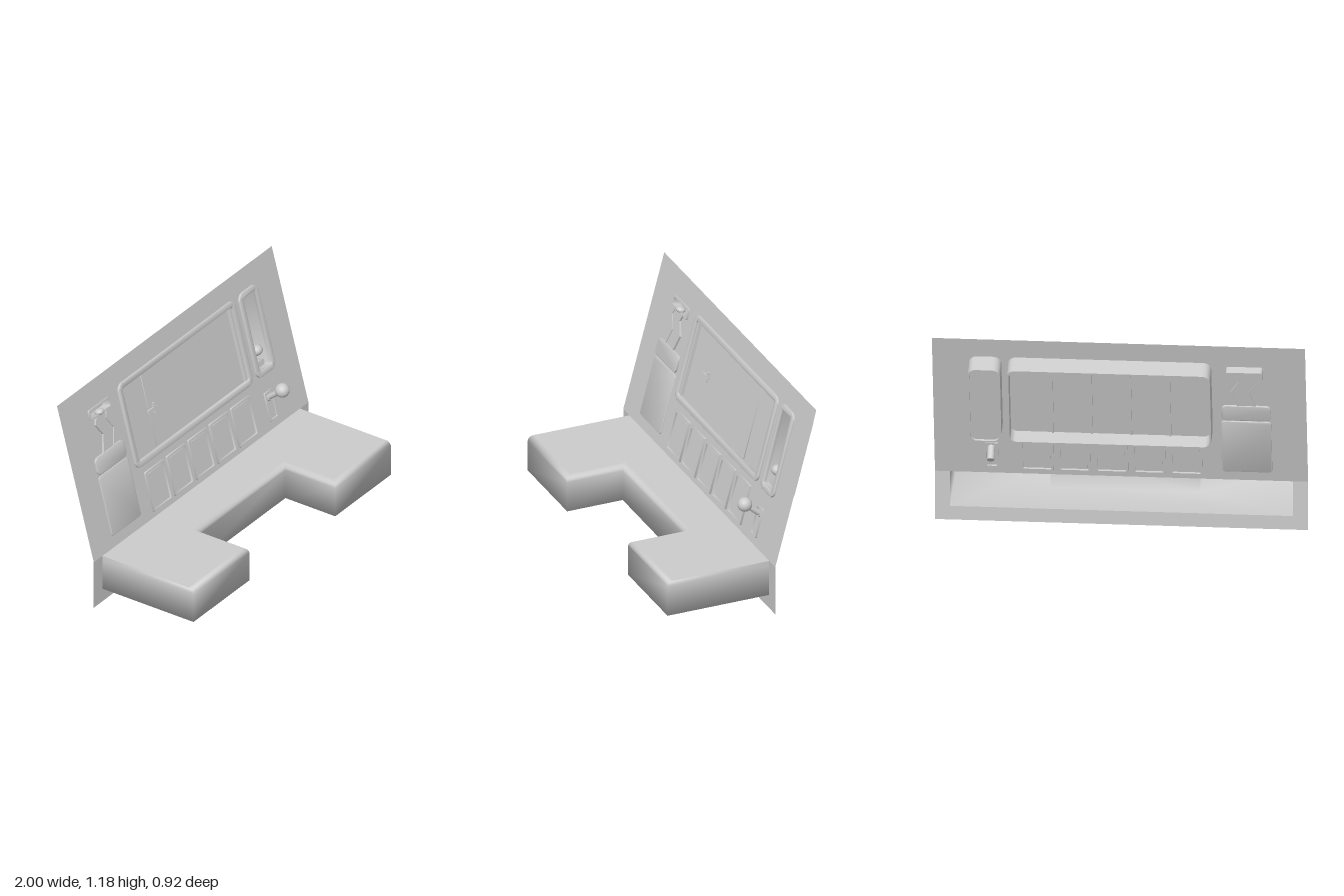
import * as THREE from 'three';
import { toCreasedNormals } from 'three/addons/utils/BufferGeometryUtils.js';

const grey = new THREE.MeshStandardMaterial({ color: 0xcccccc, side: THREE.DoubleSide });
const FOLD = 0.285, BACK = -0.14;             // fold line between skirt and leaning face
const LEAN = Math.atan2(0.24, 0.895);
const V = y => (y - FOLD) / Math.cos(LEAN);   // height -> distance up the leaning face

function add(parent, name, geometry, x = 0, y = 0, z = 0) {
  const mesh = new THREE.Mesh(geometry, grey);
  mesh.name = name;
  mesh.position.set(x, y, z);
  parent.add(mesh);
  return mesh;
}

function polygon(points) {
  return new THREE.Shape(points.map(p => new THREE.Vector2(p[0], p[1])));
}

// Rounded rectangle given by x range and height range
function rect(x0, x1, y0, y1, r, inset = 0) {
  const a = x0 + inset, b = x1 - inset, c = V(y0) + inset, d = V(y1) - inset;
  const q = Math.max(r - inset, 0.004), s = new THREE.Shape();
  s.moveTo(a + q, c);
  s.lineTo(b - q, c); s.absarc(b - q, c + q, q, -Math.PI / 2, 0);
  s.lineTo(b, d - q); s.absarc(b - q, d - q, q, 0, Math.PI / 2);
  s.lineTo(a + q, d); s.absarc(a + q, d - q, q, Math.PI / 2, Math.PI);
  s.lineTo(a, c + q); s.absarc(a + q, c + q, q, Math.PI, Math.PI * 1.5);
  return s;
}

// Solid between two depths measured from the face
function slab(shape, n0, n1, bevel = 0) {
  const g = new THREE.ExtrudeGeometry(shape, {
    depth: n1 - n0 - bevel, curveSegments: 6, bevelEnabled: bevel > 0,
    bevelSize: bevel, bevelThickness: bevel, bevelOffset: -bevel, bevelSegments: 2
  });
  g.translate(0, 0, n0);
  return toCreasedNormals(g, 0.7);
}

function ring(box, r, wall, n0, n1, bevel = 0) {
  const s = rect(...box, r);
  s.holes.push(rect(...box, r, wall));
  return slab(s, n0, n1, bevel);
}

// U-shaped desk: outline rings from the rounded top edge down to the base
function desk(group) {
  const R = 0.03, pos = [], idx = [];
  const outline = e => [
    [-0.92, BACK], [-0.92, 0.455 - e], [-0.4 - e, 0.455 - e], [-0.4 - e, 0.13 - e],
    [0.4 + e, 0.13 - e], [0.4 + e, 0.455 - e], [0.92, 0.455 - e], [0.92, BACK]
  ];
  const levels = [];
  for (let i = 0; i <= 5; i++) {
    const a = i / 5 * Math.PI / 2;
    levels.push([R * (1 - Math.sin(a)), FOLD - R * (1 - Math.cos(a))]);
  }
  levels.push([0, 0.08]);
  levels.forEach(([e, y]) => outline(e).forEach(([x, z]) => pos.push(x, y, z)));
  for (let l = 0; l + 1 < levels.length; l++) {
    for (let i = 0; i < 7; i++) {
      const a = l * 8 + i, b = a + 8;
      idx.push(a, b, a + 1, a + 1, b, b + 1);
    }
  }
  const flat = outline(0).map(p => new THREE.Vector2(p[0], p[1]));
  const base = (levels.length - 1) * 8;
  THREE.ShapeUtils.triangulateShape(flat, []).forEach(([a, b, c]) => {
    const cross = (flat[b].x - flat[a].x) * (flat[c].y - flat[a].y) - (flat[b].y - flat[a].y) * (flat[c].x - flat[a].x);
    idx.push(base + a, base + (cross > 0 ? b : c), base + (cross > 0 ? c : b));
  });
  const g = new THREE.BufferGeometry();
  g.setAttribute('position', new THREE.Float32BufferAttribute(pos, 3));
  g.setIndex(idx);
  g.computeVertexNormals();
  add(group, 'deskBody', g);

  const top = new THREE.ShapeGeometry(polygon(outline(R).map(([x, z]) => [x, -z])));
  top.rotateX(-Math.PI / 2);
  add(group, 'deskTop', top, 0, FOLD, 0);
}

export function createModel() {
  const model = new THREE.Group();
  model.name = 'controlConsole';
  desk(model);

  // Upright skirt, open behind the desk
  add(model, 'skirt', new THREE.ShapeGeometry(polygon([
    [-1, 0], [1, 0], [1, FOLD], [0.92, FOLD], [0.92, 0.08], [-0.92, 0.08], [-0.92, FOLD], [-1, FOLD]
  ])), 0, 0, BACK);

  // Leaning face with its openings
  const face = new THREE.Group();
  face.name = 'leaningFace';
  face.position.set(0, FOLD, BACK);
  face.rotation.x = -LEAN;
  model.add(face);

  const windowBox = [-0.495, 0.595, 0.58, 1.065];
  const slotBox = [0.63, 0.805, 0.58, 1.065];
  const hatchBox = [-0.77, -0.575, 0.985, 1.045];
  const sheet = polygon([[-1, 0], [1, 0], [1, V(1.18)], [-1, V(1.18)]]);
  sheet.holes.push(rect(...windowBox, 0.045, 0.03), rect(...slotBox, 0.045, 0.03), rect(...hatchBox, 0.01, 0.008));
  add(face, 'faceSheet', new THREE.ShapeGeometry(sheet, 6));

  // Wide window: front rim, open-backed casing, panes and rear ribs
  add(face, 'windowRim', ring(windowBox, 0.045, 0.035, -0.006, 0.012, 0.006));
  add(face, 'windowCasing', ring(windowBox, 0.045, 0.01, -0.115, 0));
  add(face, 'windowPane', slab(rect(...windowBox, 0.045, 0.009), -0.024, -0.018));
  add(face, 'windowCentrePane', slab(rect(-0.265, 0.355, 0.615, 1.03, 0.004), -0.02, -0.012));
  for (const x of [-0.45, 0.552]) {
    add(face, 'windowJamb', new THREE.BoxGeometry(0.014, V(1.03) - V(0.615), 0.02), x, V(0.8225), -0.008);
  }
  for (let i = 0; i < 4; i++) {
    add(face, 'windowRib', new THREE.BoxGeometry(0.01, V(1.05) - V(0.595), 0.015), -0.27 + i * 0.21, V(0.8225), -0.031);
  }
  add(face, 'latchBar', new THREE.BoxGeometry(0.075, 0.014, 0.014), -0.245, V(0.815), -0.006);
  add(face, 'latchPin', new THREE.BoxGeometry(0.012, 0.06, 0.014), -0.225, V(0.815), -0.006);

  // Narrow slot with deep pocket and round knob
  add(face, 'slotRim', ring(slotBox, 0.045, 0.035, -0.006, 0.012, 0.006));
  add(face, 'slotCasing', ring(slotBox, 0.045, 0.01, -0.115, 0));
  add(face, 'slotPocket', ring([0.655, 0.78, 0.605, 1.04], 0.01, 0.01, -0.1, 0.002));
  add(face, 'slotBack', slab(rect(...slotBox, 0.045, 0.009), -0.102, -0.096));
  const knob = add(face, 'slotKnob', new THREE.SphereGeometry(0.036, 20, 14), 0.715, V(0.712), -0.028);
  knob.scale.y = 0.85;
  const knobStem = add(face, 'slotKnobStem', new THREE.CylinderGeometry(0.014, 0.014, 0.07, 14), 0.715, V(0.712), -0.063);
  knobStem.rotation.x = Math.PI / 2;
  add(face, 'slotStop', slab(rect(0.68, 0.75, 0.62, 0.65, 0.006), -0.05, -0.02));

  // Row of five framed keys
  for (let i = 0; i < 5; i++) {
    const x = -0.35 + i * 0.2;
    add(face, 'keyFrame', ring([x - 0.0875, x + 0.0875, 0.315, 0.54], 0.005, 0.012, -0.012, 0.013));
    add(face, 'keyPane', slab(rect(x - 0.07, x + 0.07, 0.334, 0.521, 0.004), -0.004, 0.005));
  }

  // Hatch, zigzag arm and storage plates
  add(face, 'hatchRim', ring(hatchBox, 0.01, 0.01, -0.05, 0.01));
  add(face, 'hatchBack', slab(rect(...hatchBox, 0.01, 0.006), -0.05, -0.042));
  const hatchBall = add(face, 'hatchKnob', new THREE.SphereGeometry(0.027, 18, 12), -0.675, V(1.0), 0);
  hatchBall.scale.y = 0.65;
  const zigzag = [[-0.73, 0.785], [-0.695, 0.88], [-0.74, 0.95], [-0.722, 0.987]];
  const edge = w => zigzag.map(([x, y]) => [x + w, V(y)]);
  add(face, 'zigzagArm', slab(polygon([...edge(0.1), ...edge(0).reverse()]), -0.006, 0.006));
  for (const w of [0, 0.094]) {
    add(face, 'zigzagEdge', slab(polygon([...edge(w + 0.006), ...edge(w).reverse()]), -0.009, 0.011));
  }
  add(face, 'upperPlate', slab(rect(-0.81, -0.545, 0.69, 0.788, 0.028), -0.007, 0.012, 0.004));
  add(face, 'lowerPlate', slab(rect(-0.81, -0.54, 0.345, 0.682, 0.018), -0.006, 0.007, 0.003));

  // Hand lever in its slotted plate
  add(face, 'leverPlate', ring([0.658, 0.728, 0.33, 0.49], 0.006, 0.008, -0.01, 0.01));
  const lever = new THREE.Group();
  lever.name = 'handLever';
  lever.position.set(0.695, 0.528, -0.097);
  lever.rotation.x = Math.atan2(0.143, 0.118);
  model.add(lever);
  add(lever, 'leverBall', new THREE.SphereGeometry(0.04, 24, 16));
  add(lever, 'leverRod', new THREE.CylinderGeometry(0.014, 0.017, 0.13, 18), 0, -0.08, 0);
  add(lever, 'leverFoot', new THREE.CylinderGeometry(0.02, 0.02, 0.08, 18), 0, -0.15, 0);
  return model;
}
